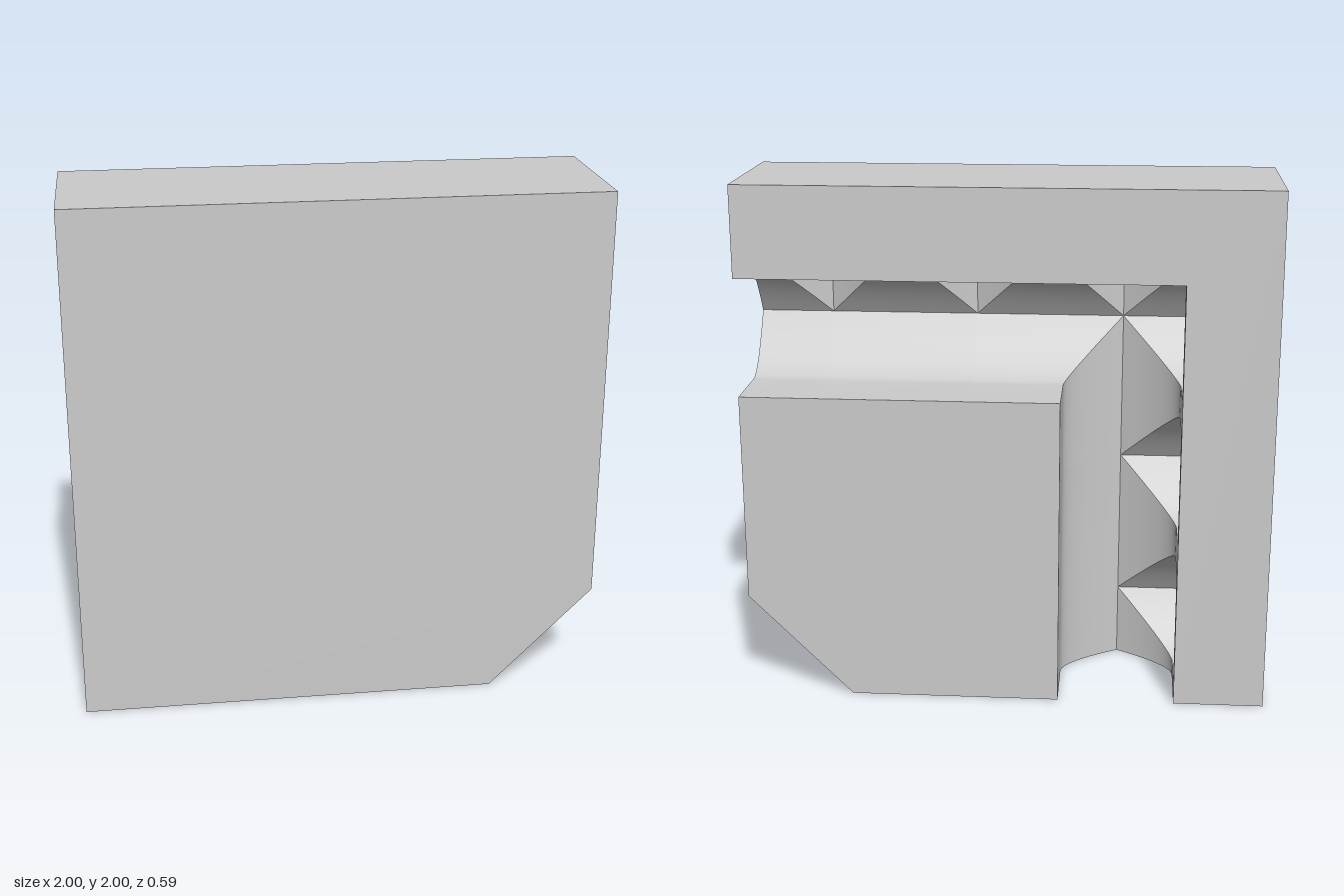
import * as THREE from 'three';
import { toCreasedNormals } from 'three/addons/utils/BufferGeometryUtils.js';

const D = 0.295;             // half thickness
const W = 0.225;             // half width of a channel
const P = 0.573;             // pitch of the pockets
const CX = -0.43, CY = 1.43; // node where the two channels meet
const LEN = 1.43;            // node to the open end of a channel
const REACH = 0.44;          // node to the end of a pocket
const ROOF = -0.23;          // pocket roof
const CUT = 0.4;             // corner chamfer
const R2 = Math.SQRT1_2;

// Half of the pointed-arch profile, from tip (s = 0) to springing (s = W)
const arch = new THREE.QuadraticBezierCurve(
  new THREE.Vector2(0, 0.18), new THREE.Vector2(W, 0.045), new THREE.Vector2(W, -0.04)
).getPoints(14).map(p => [p.x, p.y]);
const halfProfile = (side, zEnd) => [...arch, [W, zEnd]].map(([s, z]) => [side * s, z]);
const fullProfile = zEnd => [...halfProfile(-1, zEnd).reverse(), ...halfProfile(1, zEnd).slice(1)];

export function createModel() {
  const group = new THREE.Group();
  const material = new THREE.MeshStandardMaterial({ color: 0xcccccc, side: THREE.DoubleSide });

  function add(name, geometry) {
    const mesh = new THREE.Mesh(geometry, material);
    mesh.name = name;
    group.add(mesh);
  }

  function addTriangles(name, points) {
    const geometry = new THREE.BufferGeometry().setFromPoints(points);
    geometry.computeVertexNormals();
    add(name, toCreasedNormals(geometry, 0.5));
  }

  // Ruled surface: each profile point runs from start(s) to end(s);
  // place(along, across, z) puts it in the model
  function sweep(name, profile, start, end, place, capped = false) {
    const out = [];
    for (let i = 0; i < profile.length - 1; i++) {
      const [s0, z0] = profile[i], [s1, z1] = profile[i + 1];
      const a = place(start(s0), s0, z0), b = place(end(s0), s0, z0);
      const c = place(end(s1), s1, z1), d = place(start(s1), s1, z1);
      out.push(a, b, c, a, c, d);
      if (capped) out.push(b, place(end(0), 0, -0.1), c);
    }
    addTriangles(name, out);
  }

  // Flat outline, with optional hole, in the plane of two directions
  function face(name, outline, origin, u, v, hole) {
    const shape = new THREE.Shape(outline.map(p => new THREE.Vector2(...p)));
    if (hole) shape.holes.push(new THREE.Path(hole.map(p => new THREE.Vector2(...p))));
    const uDir = new THREE.Vector3(...u), vDir = new THREE.Vector3(...v);
    const basis = new THREE.Matrix4().makeBasis(uDir, vDir, uDir.clone().cross(vDir));
    basis.setPosition(...origin);
    add(name, new THREE.ShapeGeometry(shape).applyMatrix4(basis));
  }

  // Outer faces
  const X = [1, 0, 0], Y = [0, 1, 0], Z = [0, 0, 1];
  const inX = CX + W, inY = CY - W, outX = CX - W, outY = CY + W;
  face('frontFace', [[-1, 0], [1 - CUT, 0], [1, CUT], [1, 2], [-1, 2]], [0, 0, D], X, Y);
  face('backFrame', [[-1, 0], [outX, 0], [outX, outY], [1, outY], [1, 2], [-1, 2]],
    [0, 0, -D], [-1, 0, 0], Y);
  group.children.at(-1).geometry.scale(-1, 1, 1);
  face('backBlock', [[-inX, 0], [-(1 - CUT), 0], [-1, CUT], [-1, inY], [-inX, inY]],
    [0, 0, -D], [-1, 0, 0], Y);
  face('topFace', [[-1, -D], [1, -D], [1, D], [-1, D]], [0, 2, 0], X, Z);
  face('rightFace', [[0, -D], [2, -D], [2, D], [0, D]], [-1, 0, 0], Y, Z);

  // Side and bottom faces notched by the channel mouths
  const notch = fullProfile(-D);
  face('leftFace', [[CUT, -D], ...notch.map(([s, z]) => [CY + s, z]), [2, -D], [2, D], [CUT, D]],
    [1, 0, 0], Y, Z);
  face('bottomFace',
    [[-1, -D], ...notch.map(([s, z]) => [CX + s, z]), [1 - CUT, -D], [1 - CUT, D], [-1, D]],
    [0, 0, 0], X, Z);

  // Chamfer with the arched opening
  const half = CUT * R2, mid = [1 - CUT / 2, CUT / 2];
  face('chamferFace', [[-half, -D], [half, -D], [half, D], [-half, D]],
    [mid[0], mid[1], 0], [R2, R2, 0], Z, fullProfile(ROOF));

  // Two channels, mirrored over the diagonal, with vaulted pockets in the frame
  const layouts = {
    upper: (u, v, z) => new THREE.Vector3(CX + u, CY + v, z),
    side: (u, v, z) => new THREE.Vector3(CX - v, CY - u, z),
  };
  for (const [label, put] of Object.entries(layouts)) {
    for (let k = 0; k < 3; k++) {
      const from = k * P, last = k === 2, to = last ? LEN : from + P;
      sweep(label + 'ChannelOuterVault', halfProfile(1, ROOF),
        s => from + s, s => (last ? to : to - s), put);
      sweep(label + 'ChannelInnerVault', halfProfile(-1, -D),
        s => (k === 0 ? -s : from), () => to, put);
      const across = (along, s, z) => put(from + s, along, z);
      const closed = fullProfile(ROOF);
      closed.push(closed[0]);
      sweep(label + 'Pocket', closed, Math.abs, () => REACH, across, true);
    }
    // Lip over the pocket mouths
    sweep(label + 'Lip', [[W, ROOF], [W, -D]], () => -W, () => LEN, put);
  }

  // Chamfer opening, leading to two closed pockets inside the block
  sweep('chamferMouth', fullProfile(ROOF), () => 0, s => half - Math.abs(s),
    (d, s, z) => new THREE.Vector3(mid[0] + (s - d) * R2, mid[1] + (s + d) * R2, z));
  const nx = CX + 2 * P, ny = 1 - nx, gap = nx - (1 - CUT);
  const start = s => (s > 0 ? Math.max(gap, s) : gap);
  sweep('innerRowPocket', fullProfile(ROOF), start, () => REACH,
    (d, s, z) => new THREE.Vector3(nx - d, ny + s, z), true);
  sweep('innerColumnPocket', fullProfile(ROOF), start, () => REACH,
    (d, s, z) => new THREE.Vector3(nx - s, ny + d, z), true);
  const m = W * R2;
  face('innerPocketRoof', [[mid[0] - m, mid[1] - m], [mid[0] + m, mid[1] + m],
    [nx + W, ny + REACH], [nx - REACH, ny + REACH], [nx - REACH, ny - W]], [0, 0, ROOF], X, Y);

  return group;
}
